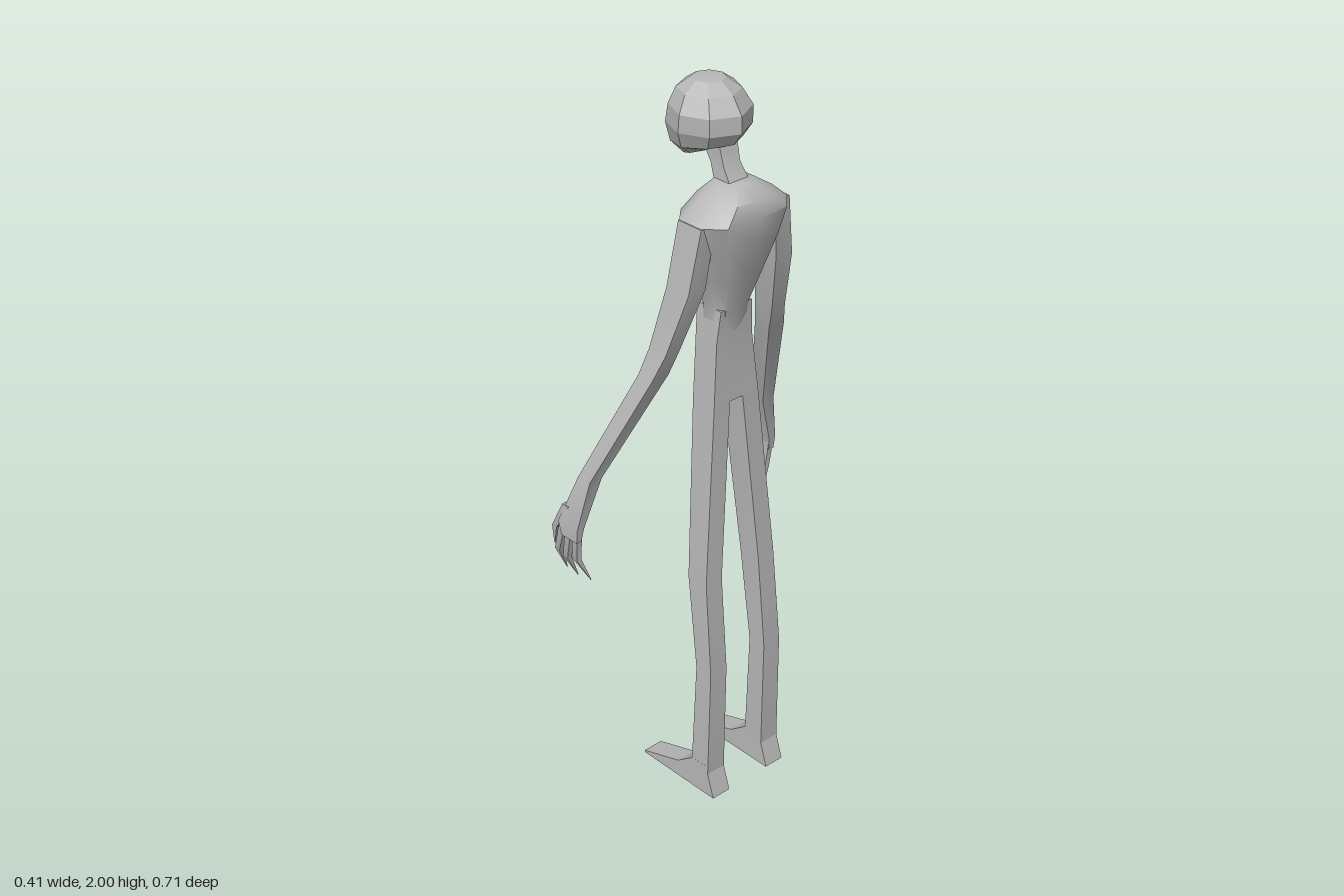
import * as THREE from 'three';
import { toCreasedNormals } from 'three/addons/utils/BufferGeometryUtils.js';

const skin = new THREE.MeshStandardMaterial({ color: 0xb8b8b8 });
skin.name = 'grey skin';

// Skins a stack of equal-length rings of [x, y, z] points and caps both ends.
function loft(rings, crease) {
  const n = rings[0].length, tris = [];
  for (let r = 0; r < rings.length - 1; r++) {
    for (let i = 0; i < n; i++) {
      const j = (i + 1) % n, a = rings[r][i], b = rings[r][j], c = rings[r + 1][j], d = rings[r + 1][i];
      tris.push([a, b, c], [a, c, d]);
    }
  }
  const first = rings[0], last = rings[rings.length - 1];
  for (let i = 1; i < n - 1; i++) {
    tris.push([first[0], first[i + 1], first[i]], [last[0], last[i], last[i + 1]]);
  }
  // Turn the corners round when the volume comes out negative, as on a mirrored limb
  let volume = 0;
  const [a, b, c] = [new THREE.Vector3(), new THREE.Vector3(), new THREE.Vector3()];
  for (const t of tris) volume += a.fromArray(t[0]).dot(b.fromArray(t[1]).cross(c.fromArray(t[2])));
  if (volume < 0) tris.forEach((t) => t.reverse());
  const geo = new THREE.BufferGeometry();
  geo.setAttribute('position', new THREE.Float32BufferAttribute(tris.flat(2), 3));
  return toCreasedNormals(geo, crease);
}

// Rectangular section: y, x range, z range
const box = ([y, x0, x1, z0, z1], s = 1) =>
  [[x0, y, s * z0], [x1, y, s * z0], [x1, y, s * z1], [x0, y, s * z1]];

// Section scaled from a unit outline: front y, back y, x range, half width
const scaled = (outline) => ([yf, yb, x0, x1, hz]) => outline.map(([u, v]) => [
  (x0 + x1) / 2 + u * (x1 - x0) / 2, yf + (yb - yf) * (u + 1) / 2, v * hz]);

function mesh(parent, name, geometry) {
  const m = new THREE.Mesh(geometry, skin);
  m.name = name;
  parent.add(m);
  return m;
}

function buildLeg(side, s) {
  const leg = new THREE.Group();
  leg.name = side + 'Leg';
  mesh(leg, 'shin and thigh', loft([
    [0.07, 0.1, 0.163, 0.07, 0.13],
    [0.4, 0.115, 0.17, 0.069, 0.126],
    [0.67, 0.08, 0.147, 0.066, 0.121],
    [1.17, 0.05, 0.127, 0.022, 0.076],
  ].map((r) => box(r, s)), 0.2));

  // Long wedge foot
  const profile = new THREE.Shape([
    [-0.092, 0], [0.185, 0], [0.163, 0.07], [0.162, 0.095], [0.101, 0.092], [0.045, 0.05], [-0.092, 0.006],
  ].map(([x, y]) => new THREE.Vector2(x, y)));
  const foot = new THREE.ExtrudeGeometry(profile, { depth: 0.06, bevelEnabled: false });
  foot.translate(0, 0, s > 0 ? 0.07 : -0.13);
  mesh(leg, 'foot', foot);
  return leg;
}

function buildArm(side, s) {
  const arm = new THREE.Group();
  arm.name = side + 'Arm';
  mesh(arm, 'upper arm and forearm', loft([
    [1.69, 0.075, 0.155, 0.1, 0.146],
    [1.52, 0.063, 0.14, 0.118, 0.174],
    [1.35, 0.03, 0.09, 0.157, 0.203],
    [1.28, 0.015, 0.066, 0.172, 0.225],
    [0.97, -0.11, -0.065, 0.284, 0.324],
    [0.83, -0.16, -0.085, 0.33, 0.353],
    [0.79, -0.15, -0.09, 0.336, 0.352],
  ].map((r) => box(r, s)), 0.5));

  // Fingers: root, knuckle and tip as [x, y, z, half thickness]
  const fingers = [
    [[-0.14, 0.88, 0.335, 0.012], [-0.182, 0.8, 0.342, 0.009], [-0.205, 0.73, 0.33, 0.001]],
    [[-0.147, 0.83, 0.342, 0.011], [-0.178, 0.73, 0.338, 0.009], [-0.185, 0.655, 0.308, 0.001]],
    [[-0.125, 0.82, 0.342, 0.011], [-0.146, 0.72, 0.338, 0.009], [-0.145, 0.648, 0.305, 0.001]],
    [[-0.1, 0.82, 0.342, 0.011], [-0.108, 0.73, 0.338, 0.009], [-0.09, 0.66, 0.308, 0.001]],
  ];
  fingers.forEach((joints, i) => mesh(arm, 'finger' + (i + 1), loft(
    joints.map(([x, y, z, t]) => box([y, x - t, x + t, z - t * 0.8, z + t * 0.8], s)), 0.5)));
  return arm;
}

export function createModel() {
  const figure = new THREE.Group();
  figure.name = 'thin figure';

  // Pelvis bridging the legs
  mesh(figure, 'pelvis', loft([
    [1.17, 0.05, 0.127, -0.076, 0.076],
    [1.34, 0.043, 0.118, -0.06, 0.06],
    [1.43, 0.04, 0.125, -0.052, 0.052],
  ].map((r) => box(r)), 0.5));

  // Hunched torso widening to the shoulders
  const chest = scaled([[1, 0], [0.9, 0.68], [0.4, 1], [-0.4, 1], [-0.85, 0.7],
    [-1, 0], [-0.85, -0.7], [-0.4, -1], [0.4, -1], [0.9, -0.68]]);
  mesh(figure, 'torso', loft([
    [1.36, 1.36, 0.043, 0.12, 0.055],
    [1.43, 1.43, 0.038, 0.132, 0.055],
    [1.52, 1.52, 0.028, 0.162, 0.083],
    [1.62, 1.62, 0.015, 0.192, 0.12],
    [1.69, 1.69, 0.02, 0.205, 0.143],
    [1.735, 1.735, 0.042, 0.197, 0.09],
    [1.765, 1.765, 0.07, 0.16, 0.045],
  ].map(chest), 0.75));

  // Neck leaning forward
  mesh(figure, 'neck', loft([
    [1.74, 0.085, 0.145, -0.034, 0.034],
    [1.8, 0.06, 0.105, -0.027, 0.027],
    [1.86, 0.025, 0.09, -0.03, 0.03],
  ].map((r) => box(r)), 0.4));

  // Faceted skull tapering to the chin
  const skull = scaled([[1, 0], [0.68, 0.7], [0, 1], [-0.7, 0.7],
    [-1, 0], [-0.7, -0.7], [0, -1], [0.68, -0.7]]);
  mesh(figure, 'head', loft([
    [1.79, 1.83, -0.045, 0.06, 0.045],
    [1.825, 1.85, -0.078, 0.112, 0.082],
    [1.88, 1.885, -0.085, 0.138, 0.101],
    [1.93, 1.93, -0.072, 0.137, 0.102],
    [1.972, 1.972, -0.055, 0.108, 0.078],
    [1.997, 1.997, -0.018, 0.07, 0.042],
    [2, 2, 0.02, 0.032, 0.006],
  ].map(skull), 0.1));

  for (const [side, s] of [['left', -1], ['right', 1]].map(([n, v]) => [n, v])) {
    figure.add(buildLeg(side === 'left' ? 'far' : 'near', s));
    figure.add(buildArm(side === 'left' ? 'far' : 'near', s));
    // Raised rim around the eye
    const eye = mesh(figure, 'eye rim', new THREE.TorusGeometry(0.017, 0.004, 4, 6));
    eye.position.set(-0.063, 1.9, s * 0.036);
    eye.lookAt(-0.063 - 0.08, 1.905, s * 0.076);
  }
  return figure;
}
